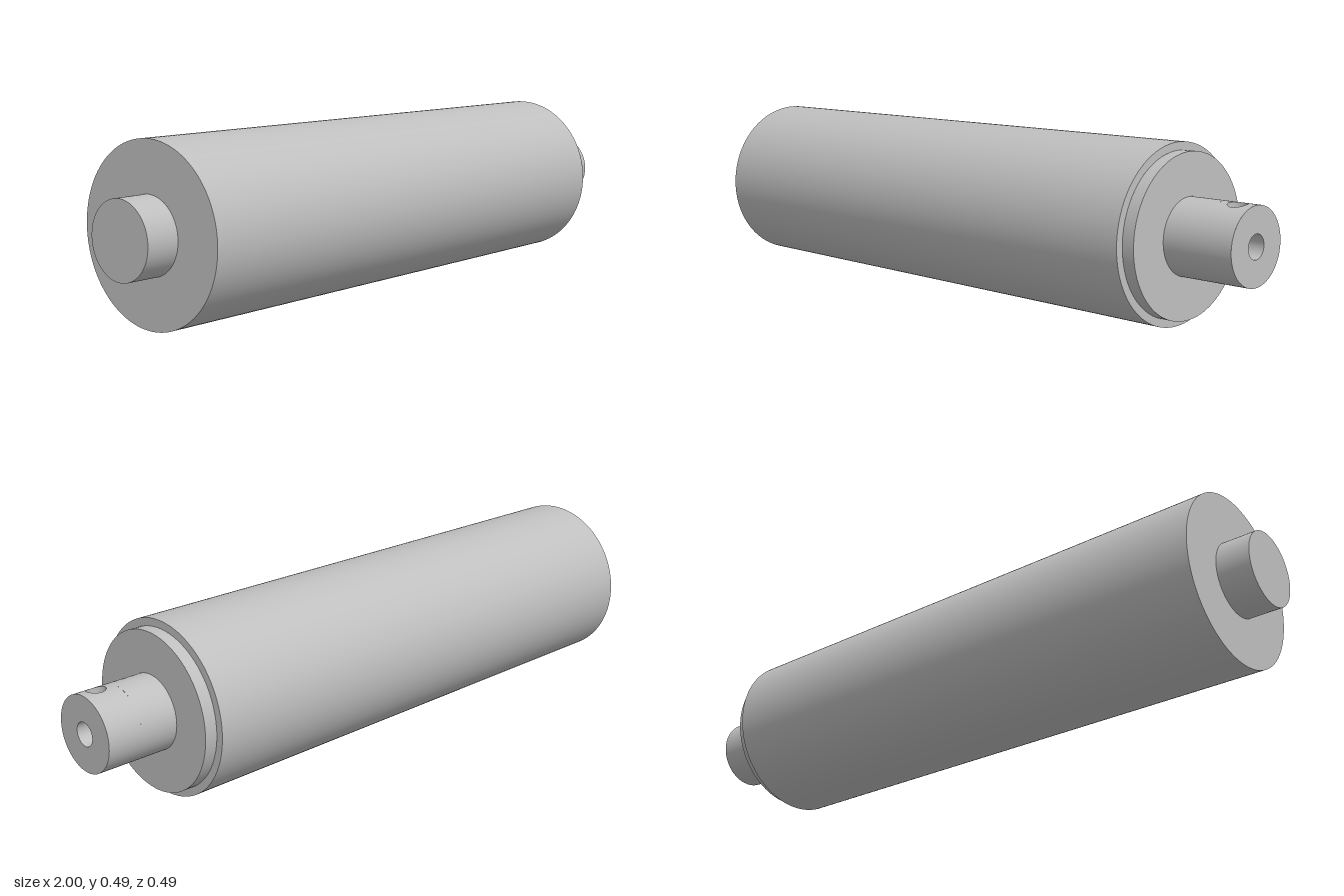
import * as THREE from 'three';
import { mergeGeometries } from 'three/addons/utils/BufferGeometryUtils.js';

const AXIS_Y = 0.244;
const SHAFT_R = 0.105, BORE_R = 0.033;
const HOLE = { x: 0.95, z: 0.012, r: 0.026 };
const PATCH = { x0: 0.9, x1: 1, a0: -0.4, a1: 0.64 };

// Turned surface along x from [x, radius] points, every corner kept sharp
function turned(points, start = 0, length = Math.PI * 2, segments = 96) {
  const bands = [];
  for (let i = 0; i + 1 < points.length; i++) {
    const pair = [points[i], points[i + 1]].map(([x, r]) => new THREE.Vector2(r, x));
    bands.push(new THREE.LatheGeometry(pair, segments, start, length));
  }
  return mergeGeometries(bands).rotateZ(-Math.PI / 2);
}

// Grid surface from point(u, v) and normal(u, v, p)
function surface(nu, nv, point, normal) {
  const pos = [], nor = [], index = [];
  for (let j = 0; j <= nv; j++) {
    for (let i = 0; i <= nu; i++) {
      const p = point(i / nu, j / nv);
      pos.push(p.x, p.y, p.z);
      nor.push(...normal(i / nu, p).toArray());
      if (i < nu && j < nv) {
        const a = j * (nu + 1) + i, b = a + nu + 1;
        index.push(a, a + 1, b, a + 1, b + 1, b);
      }
    }
  }
  const g = new THREE.BufferGeometry();
  g.setAttribute('position', new THREE.Float32BufferAttribute(pos, 3));
  g.setAttribute('normal', new THREE.Float32BufferAttribute(nor, 3));
  g.setIndex(index);
  return g;
}

// Point on the rim of the cross hole, as x and z
function rim(u) {
  const t = u * Math.PI * 2;
  return { x: HOLE.x + HOLE.r * Math.cos(t), z: HOLE.z + HOLE.r * Math.sin(t) };
}

// Piece of shaft skin running from the hole rim out to a rectangular edge
function holePatch() {
  return surface(64, 6, (u, v) => {
    const t = u * Math.PI * 2, c = Math.cos(t), s = Math.sin(t);
    const k = 1 / Math.max(Math.abs(c), Math.abs(s));
    const inner = rim(u), innerA = Math.asin(inner.z / SHAFT_R);
    const outerX = (PATCH.x0 + PATCH.x1) / 2 + (PATCH.x1 - PATCH.x0) / 2 * c * k;
    const outerA = (PATCH.a0 + PATCH.a1) / 2 + (PATCH.a1 - PATCH.a0) / 2 * s * k;
    const a = THREE.MathUtils.lerp(innerA, outerA, v);
    return new THREE.Vector3(
      THREE.MathUtils.lerp(inner.x, outerX, v), SHAFT_R * Math.cos(a), SHAFT_R * Math.sin(a));
  }, (u, p) => new THREE.Vector3(0, p.y, p.z).normalize());
}

// Wall of the cross hole, from the bore up to the shaft skin
function holeWall() {
  return surface(64, 1, (u, v) => {
    const { x, z } = rim(u);
    const r = v ? SHAFT_R : BORE_R;
    return new THREE.Vector3(x, Math.sqrt(Math.max(0, r * r - z * z)), z);
  }, (u) => new THREE.Vector3(-Math.cos(u * Math.PI * 2), 0, -Math.sin(u * Math.PI * 2)));
}

export function createModel() {
  const group = new THREE.Group();
  const steel = new THREE.MeshStandardMaterial({ color: 0xbfbfbf });
  steel.name = 'steel grey';

  const add = (name, geometry) => {
    const mesh = new THREE.Mesh(geometry, steel);
    mesh.name = name;
    mesh.position.y = AXIS_Y;
    group.add(mesh);
  };

  // Plain stub at the closed end
  add('endStub', turned([[-1, 0], [-1, SHAFT_R], [-0.904, SHAFT_R]]));
  // Main roller with its two end faces
  add('rollerBody', turned([[-0.904, SHAFT_R], [-0.904, 0.244], [0.756, 0.244], [0.756, 0.222]], 0, Math.PI * 2, 128));
  // Stepped collar
  add('collar', turned([[0.756, 0.222], [0.792, 0.222], [0.792, SHAFT_R]]));
  // Drive shaft, open where the drilled patch sits
  add('driveShaft', turned([[0.792, SHAFT_R], [PATCH.x0, SHAFT_R]]));
  const top = Math.PI * 1.5;
  add('driveShaftTip', turned([[PATCH.x0, SHAFT_R], [PATCH.x1, SHAFT_R]],
    top + PATCH.a1, Math.PI * 2 - (PATCH.a1 - PATCH.a0)));
  add('drilledPatch', holePatch());
  add('crossHoleWall', holeWall());
  // Tip face and blind bore
  add('shaftEndFace', turned([[1, SHAFT_R], [1, BORE_R]]));
  add('bore', turned([[1, BORE_R], [0.86, BORE_R], [0.86, 0]]));

  return group;
}
